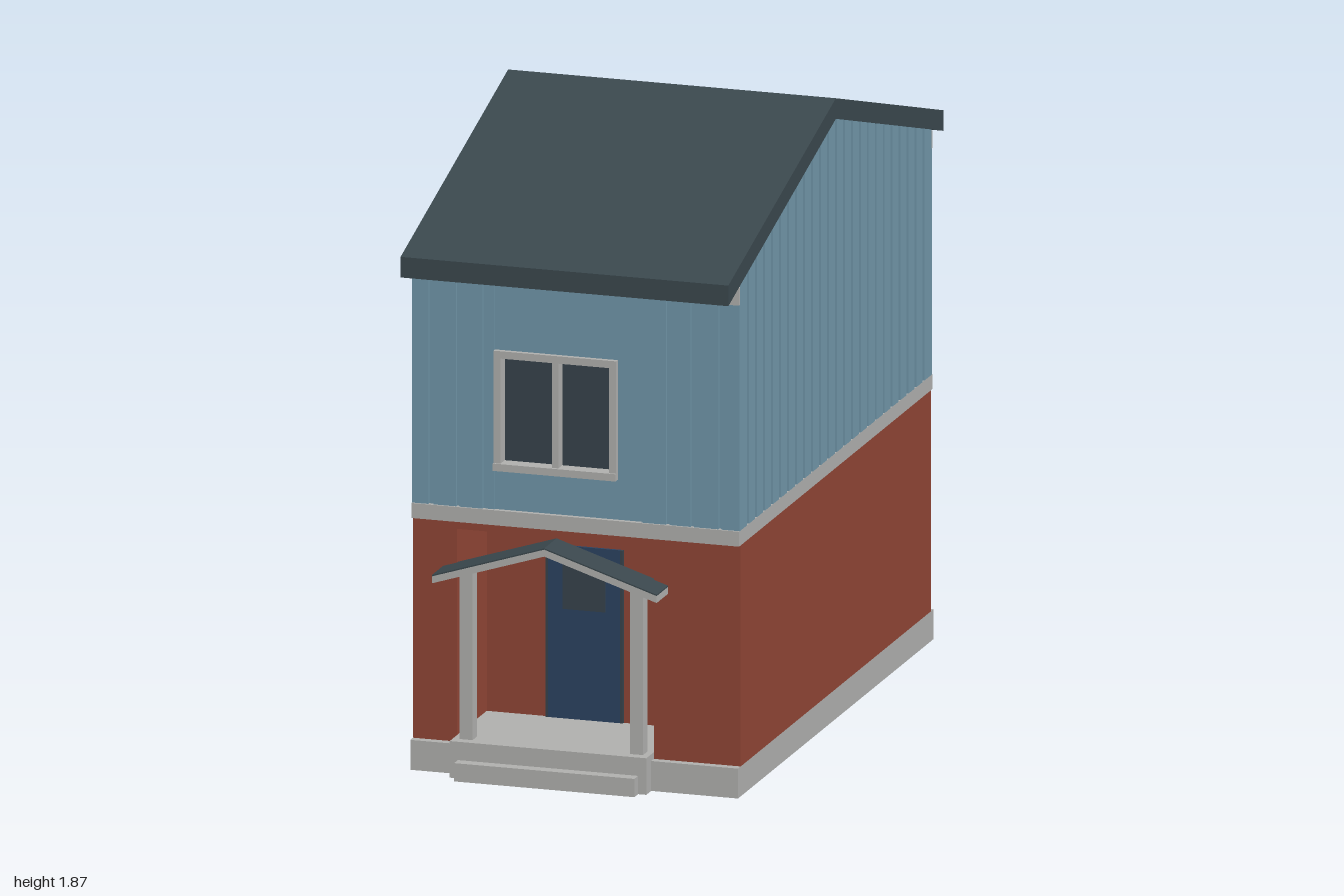
import * as THREE from 'three';

const mat = (name, color) => {
  const m = new THREE.MeshStandardMaterial({ color });
  m.name = name;
  return m;
};

export function createModel() {
  const house = new THREE.Group();
  house.name = 'house';
  const brick = mat('brick red', 0x8f4535);
  const siding = mat('siding blue', 0x7095a8);
  const trim = mat('trim grey', 0xafafad);
  const roofing = mat('roof slate', 0x3a474d);
  const doorBlue = mat('door blue', 0x2b4260);
  const glass = mat('window glass', 0x36424b);

  const add = (name, geometry, material, parent = house) => {
    const mesh = new THREE.Mesh(geometry, material);
    mesh.name = name;
    parent.add(mesh);
    return mesh;
  };
  // Box given by its min and max on each axis
  const box = (name, material, x0, x1, y0, y1, z0, z1, parent) => {
    const g = new THREE.BoxGeometry(x1 - x0, y1 - y0, z1 - z0);
    g.translate((x0 + x1) / 2, (y0 + y1) / 2, (z0 + z1) / 2);
    return add(name, g, material, parent);
  };
  const shapeOf = (pts) => new THREE.Shape(pts.map(([a, b]) => new THREE.Vector2(a, b)));
  const rectPts = (x0, x1, y0, y1) => [[x0, y0], [x1, y0], [x1, y1], [x0, y1]];
  // Outline in (x, y) extruded along z, optionally with a rectangular hole
  const panel = (name, material, pts, z0, z1, hole, parent) => {
    const s = shapeOf(pts);
    if (hole) s.holes.push(new THREE.Path(shapeOf(hole).getPoints().reverse()));
    const g = new THREE.ExtrudeGeometry(s, { depth: z1 - z0, bevelEnabled: false });
    g.translate(0, 0, z0);
    return add(name, g, material, parent);
  };
  // Outline in (z, y) extruded along x
  const prism = (name, material, pts, x0, x1, parent) => {
    const g = new THREE.ExtrudeGeometry(shapeOf(pts), { depth: x1 - x0, bevelEnabled: false });
    g.rotateY(-Math.PI / 2).translate(x1, 0, 0);
    return add(name, g, material, parent);
  };
  const roofUnder = (z) => 1.805 - 0.3 * Math.abs(z);

  // Foundation and the band between the storeys
  box('foundation', trim, -0.5, 0.5, 0, 0.09, -0.91, 0.91);
  box('storeyBand', trim, -0.5, 0.5, 0.755, 0.8, -0.9, 0.9);

  // Brick storey around the recessed porch
  const backHole = rectPts(-0.125, 0.125, 0.3, 0.625);
  box('brickCore', brick, -0.5, 0.5, 0.09, 0.755, -0.85, 0.61);
  panel('brickBackWall', brick, rectPts(-0.5, 0.5, 0.09, 0.755), -0.885, -0.85, backHole);
  box('brickPier', brick, -0.5, -0.365, 0.09, 0.755, 0.61, 0.885);
  box('brickPier', brick, 0.235, 0.5, 0.09, 0.755, 0.61, 0.885);
  box('porchLintel', brick, -0.365, 0.235, 0.73, 0.755, 0.61, 0.885);

  // Upper storey core
  const d = 0.85;
  prism('upperCore', siding,
    [[-d, 0.8], [d, 0.8], [d, roofUnder(d)], [0, roofUnder(0)], [-d, roofUnder(d)]], -0.488, 0.488);
  const wall = rectPts(-0.488, 0.488, 0.8, 1.535);
  panel('upperFrontWall', siding, wall, d, 0.885, rectPts(-0.23, 0.105, 0.94, 1.26));
  panel('upperBackWall', siding, wall, -0.885, -d, rectPts(-0.17, 0.17, 0.94, 1.26));

  // Side boards, cut along the roof slope
  const sideBoards = new THREE.Group();
  sideBoards.name = 'sideBoards';
  house.add(sideBoards);
  const count = 24, pitch = 1.78 / count, gap = 0.018;
  for (let i = 0; i < count; i++) {
    const a = -0.89 + i * pitch + (i ? gap / 2 : 0);
    const b = -0.89 + (i + 1) * pitch - (i < count - 1 ? gap / 2 : 0);
    const pts = [[a, 0.8], [b, 0.8], [b, roofUnder(b)], [a, roofUnder(a)]];
    prism('sideBoard', siding, pts, 0.485, 0.5, sideBoards);
    prism('sideBoard', siding, pts, -0.5, -0.485, sideBoards);
  }

  // Front and back boards beside the windows
  const rightBoards = [[0.2, 0.275], [0.285, 0.35], [0.36, 0.435], [0.445, 0.5]];
  const leftBoards = [[-0.5, -0.45], [-0.435, -0.365], [-0.355, -0.285]];
  const endBoard = (x0, x1, s) =>
    box('endBoard', siding, x0, x1, 0.8, 1.48, s > 0 ? 0.88 : -0.894, s > 0 ? 0.894 : -0.88);
  for (const [a, b] of [...leftBoards, ...rightBoards]) endBoard(a, b, 1);
  for (const [a, b] of rightBoards) {
    endBoard(a, b, -1);
    endBoard(-b, -a, -1);
  }
  box('frontPlainBoard', siding, -0.277, -0.25, 0.8, 1.48, 0.88, 0.89);

  // Trim below the eaves
  box('frontEaveTrim', trim, -0.5, 0.5, 1.48, 1.533, 0.88, 0.9);
  box('backEaveTrim', trim, -0.5, 0.5, 1.48, 1.533, -0.9, -0.88);

  // Main roof
  prism('roof', roofing,
    [[-1, 1.505], [0, 1.805], [1, 1.505], [1, 1.567], [0, 1.867], [-1, 1.567]], -0.5, 0.5);

  // Windows: deep frame, sill, glass and optional mullion, built facing +z
  const makeWindow = (name, w, h, cx, y0, back, mullion) => {
    const g = new THREE.Group();
    g.name = name;
    const t = 0.022, x = w / 2;
    panel('windowFrame', trim, rectPts(-x, x, 0, h), 0.852, 0.9,
      rectPts(-x + t, x - t, t, h - t), g);
    box('windowSill', trim, -x, x, 0, t, 0.89, 0.906, g);
    box('windowGlass', glass, -x + t, x - t, t, h - t, 0.852, 0.86, g);
    if (mullion) box('mullion', trim, -0.01, 0.01, t, h - t, 0.855, 0.897, g);
    g.position.set(cx, y0, 0);
    if (back) g.rotation.y = Math.PI;
    house.add(g);
  };
  makeWindow('frontWindow', 0.375, 0.36, -0.0625, 0.92, false, true);
  makeWindow('backUpperWindow', 0.38, 0.36, 0, 0.92, true, true);
  makeWindow('backLowerWindow', 0.29, 0.365, 0, 0.28, true, false);

  // Porch floor, step and posts
  box('porchFloor', trim, -0.365, 0.235, 0, 0.11, 0.6, 0.955);
  box('porchStep', trim, -0.34, 0.21, 0, 0.055, 0.95, 0.99);
  for (const x of [-0.325, 0.195]) box('porchPost', trim, x - 0.02, x + 0.02, 0.11, 0.63, 0.882, 0.925);

  // Porch roof: grey gable with a dark covering
  const chevron = (top, thick) => [
    [-0.408, top - 0.11], [-0.065, top], [0.278, top - 0.11],
    [0.278, top - 0.11 - thick], [-0.065, top - thick], [-0.408, top - 0.11 - thick]];
  panel('porchRoofFrame', trim, chevron(0.721, 0.021), 0.875, 0.99);
  panel('porchRoofCover', roofing, chevron(0.725, 0.004), 0.875, 0.99);

  // Front door with its small pane
  box('door', doorBlue, -0.175, 0.045, 0.11, 0.63, 0.6, 0.618);
  for (const x of [-0.179, 0.049]) box('doorEdge', glass, x - 0.004, x + 0.004, 0.11, 0.63, 0.6, 0.62);
  box('doorPane', glass, -0.13, 0, 0.44, 0.58, 0.614, 0.621);

  return house;
}
